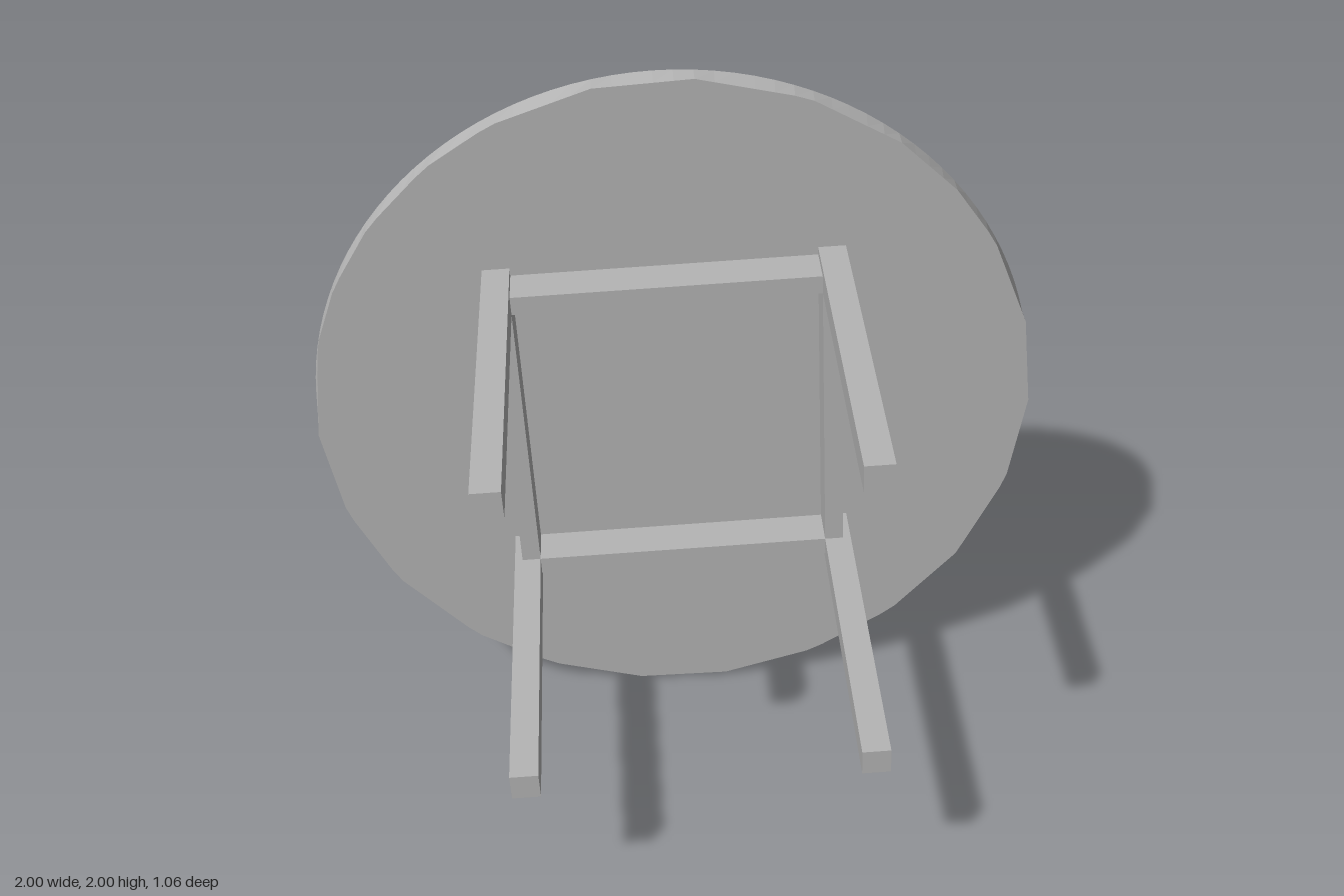
import * as THREE from 'three';

export function createModel() {
  const model = new THREE.Group();
  model.name = 'roundTable';
  const grey = new THREE.MeshStandardMaterial({ color: 0xb4b4b4, flatShading: true });
  grey.name = 'plain grey';

  // Whole table lies on its rim, leaning very slightly back
  const table = new THREE.Group();
  table.name = 'tiltedTable';
  table.position.y = 1;
  table.rotation.x = -0.0045;
  model.add(table);

  const add = (parent, name, geometry, x, y, z) => {
    const mesh = new THREE.Mesh(geometry, grey);
    mesh.name = name;
    mesh.position.set(x, y, z);
    parent.add(mesh);
    return mesh;
  };

  // Corner angles (degrees clockwise from top) of the roughly cut underside
  const corners = [3, 20, 36, 48, 59, 75, 90, 106, 123, 139, 155, 171,
    186, 202, 217, 235, 251, 267, 284, 295, 307, 320, 332, 348, 363];
  const rimRadius = (degrees) => {
    const a = degrees < corners[0] ? degrees + 360 : degrees;
    let i = 0;
    while (i < corners.length - 2 && a > corners[i + 1]) i++;
    const half = (corners[i + 1] - corners[i]) / 2;
    const mid = corners[i] + half;
    return Math.cos(THREE.MathUtils.degToRad(half)) / Math.cos(THREE.MathUtils.degToRad(a - mid));
  };

  // Tabletop: round upper face, faceted underside outline
  const top = new THREE.CylinderGeometry(1, 1, 0.055, 120).rotateX(Math.PI / 2);
  const p = top.attributes.position;
  for (let i = 0; i < p.count; i++) {
    const x = p.getX(i), y = p.getY(i);
    if (p.getZ(i) < 0 || Math.hypot(x, y) < 0.5) continue;
    const a = (THREE.MathUtils.radToDeg(Math.atan2(x, y)) + 360) % 360;
    const r = rimRadius(a);
    p.setXY(i, x * r, y * r);
  }
  top.computeVertexNormals();
  add(table, 'tabletop', top, 0, 0, -0.4975);

  // Square base, turned a little against the top
  const base = new THREE.Group();
  base.name = 'base';
  base.position.set(-0.003, 0.004, 0);
  base.rotation.z = 0.05;
  table.add(base);

  const reach = 0.448, legSize = 0.074;
  for (const sx of [-1, 1]) {
    for (const sy of [-1, 1]) {
      add(base, 'leg', new THREE.BoxGeometry(legSize, legSize, 0.998), sx * reach, sy * reach, 0.028);
    }
  }

  // Aprons, flush with the inner faces of the legs
  const apronWidth = 0.052, apronDepth = 0.115;
  const apronReach = reach - legSize / 2 + apronWidth / 2;
  const apronLength = 2 * reach - legSize;
  for (const s of [-1, 1]) {
    add(base, 'apron', new THREE.BoxGeometry(apronLength, apronWidth, apronDepth), 0, s * apronReach, -0.4125);
    add(base, 'apron', new THREE.BoxGeometry(apronWidth, apronLength, apronDepth), s * apronReach, 0, -0.4125);
  }
  return model;
}
